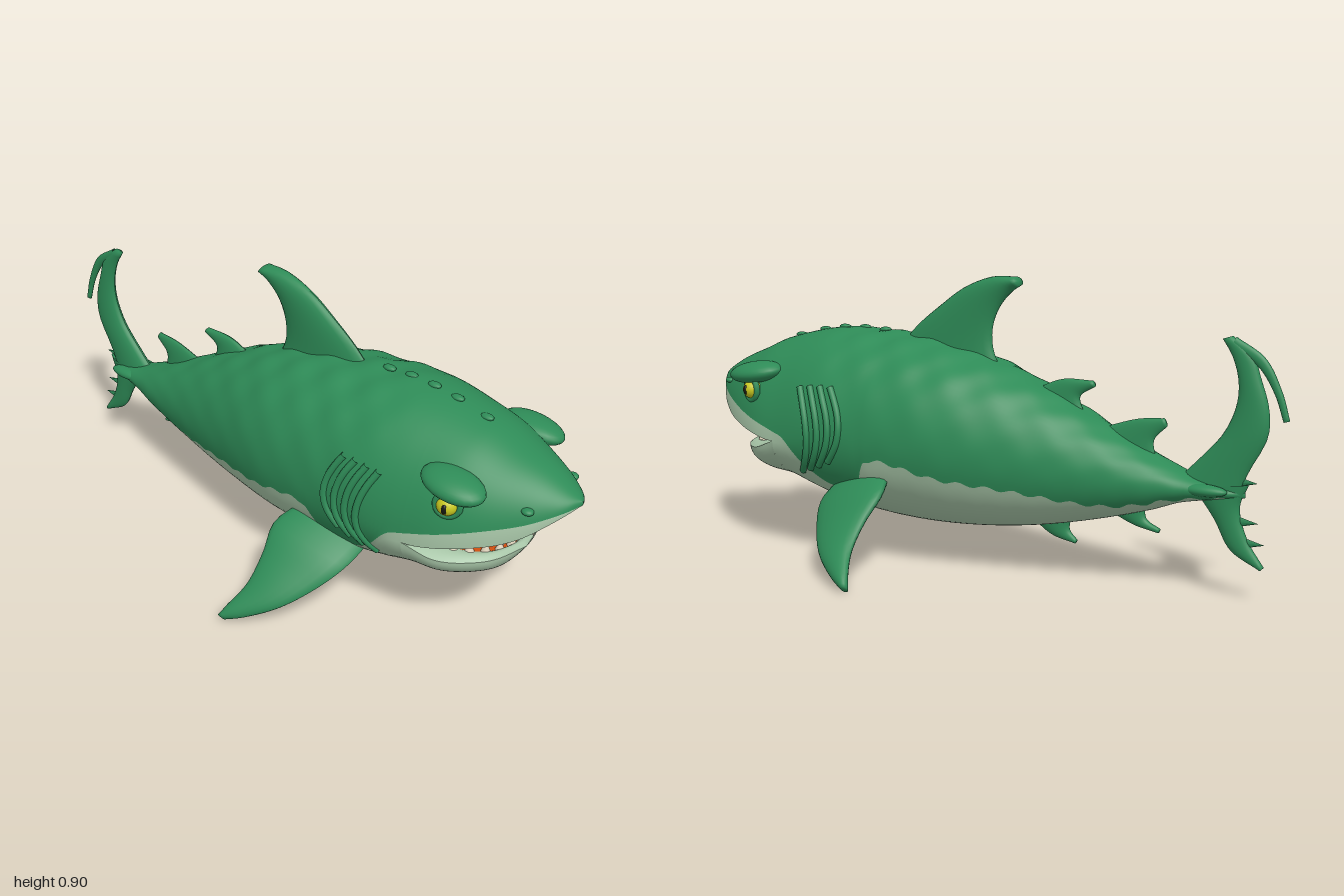
import * as THREE from 'three';

const mat = (name, color, side = THREE.FrontSide) => {
  const m = new THREE.MeshStandardMaterial({ color, side });
  m.name = name;
  return m;
};
const V = (x, y, z) => new THREE.Vector3(x, y, z);

// Smooth curve through [position, value] pairs
function table(p) {
  const slope = i => {
    const a = p[Math.max(0, i - 1)], b = p[Math.min(p.length - 1, i + 1)];
    return (b[1] - a[1]) / (b[0] - a[0]);
  };
  return z => {
    let i = 0;
    while (i < p.length - 2 && z > p[i + 1][0]) i++;
    const h = p[i + 1][0] - p[i][0], t = THREE.MathUtils.clamp((z - p[i][0]) / h, 0, 1);
    const t2 = t * t, t3 = t2 * t;
    return (2 * t3 - 3 * t2 + 1) * p[i][1] + (t3 - 2 * t2 + t) * h * slope(i)
      + (3 * t2 - 2 * t3) * p[i + 1][1] + (t3 - t2) * h * slope(i + 1);
  };
}

// Body profiles along z; JAW is where the head splits into snout and lower jaw
const JAW = 0.6, TAIL = -0.88;
const width = table([[-0.88, 0], [-0.86, 0.02], [-0.8, 0.045], [-0.7, 0.07], [-0.6, 0.1], [-0.4, 0.15], [-0.2, 0.2],
  [0, 0.25], [0.1, 0.265], [0.3, 0.28], [0.45, 0.285], [0.6, 0.27], [0.7, 0.25], [0.8, 0.205], [0.9, 0.135],
  [0.95, 0.085], [0.98, 0.045], [1, 0]]);
const top = table([[-0.88, 0.32], [-0.8, 0.335], [-0.7, 0.36], [-0.5, 0.45], [-0.3, 0.55], [-0.1, 0.635], [0.1, 0.69],
  [0.3, 0.715], [0.5, 0.72], [0.7, 0.68], [0.8, 0.64], [0.9, 0.6], [1, 0.545]]);
const mid = table([[-0.88, 0.31], [-0.6, 0.32], [-0.3, 0.35], [0, 0.39], [0.3, 0.4], [0.45, 0.4], [0.6, 0.37],
  [0.7, 0.385], [0.8, 0.41], [0.85, 0.425], [0.9, 0.45], [0.95, 0.49], [1, 0.535]]);
const bottom = table([[-0.88, 0.3], [-0.7, 0.27], [-0.6, 0.235], [-0.4, 0.18], [-0.2, 0.14], [0, 0.12], [0.2, 0.12],
  [0.4, 0.145], [0.5, 0.175], [0.6, 0.215], [0.7, 0.232], [0.8, 0.262], [0.845, 0.325]]);
const jawWidth = table([[0.6, 0.27], [0.7, 0.235], [0.78, 0.165], [0.82, 0.1], [0.845, 0]]);
const jawMid = table([[0.6, 0.37], [0.7, 0.335], [0.845, 0.326]]);
const paintY = table([[-0.88, 0.3], [-0.7, 0.285], [-0.5, 0.25], [-0.2, 0.28], [0, 0.3], [0.24, 0.34], [0.29, 0.26],
  [0.4, 0.24], [0.48, 0.3], [0.55, 0.38], [0.6, 0.4], [0.7, 0.43], [0.8, 0.46], [0.9, 0.49], [1, 0.535]]);

// Skin point at station z and angle a, with soft muscle lumps behind the head
function skin(z, a) {
  const s = Math.sin(a), jaw = s < -1e-9 && z > JAW;
  const w = jaw ? jawWidth(z) : width(z), m = jaw ? jawMid(z) : mid(z);
  const fade = THREE.MathUtils.smoothstep(z, -0.85, -0.5) * (1 - THREE.MathUtils.smoothstep(z, 0.3, 0.55));
  const k = 1 + 0.016 * fade * Math.max(0, s + 0.2) * Math.sin(z * 42 + 2 * s) * Math.cos(8 * a);
  return V(w * Math.cos(a) * k, m + (s > 0 ? top(z) - m : m - bottom(z)) * s * k, z);
}

// Angle of the colour border at station z
function border(z) {
  const m = mid(z), y = paintY(z) + (z < 0.24 ? 0.006 * Math.sin(z * 75) : 0);
  const q = y > m ? (y - m) / (top(z) - m) : (y - m) / (m - bottom(z));
  return Math.asin(THREE.MathUtils.clamp(q, -0.9, 0.9));
}

// Surface from f(u, v), u and v in 0..1; faces look along v x u
function grid(f, nu, nv, flip = false) {
  const pos = [], idx = [];
  for (let i = 0; i <= nu; i++) for (let j = 0; j <= nv; j++) pos.push(...f(i / nu, j / nv).toArray());
  for (let i = 0; i < nu; i++) for (let j = 0; j < nv; j++) {
    const a = i * (nv + 1) + j, b = a + 1, c = a + nv + 1, d = c + 1;
    idx.push(...(flip ? [a, c, b, b, c, d] : [a, b, c, b, d, c]));
  }
  const g = new THREE.BufferGeometry();
  g.setAttribute('position', new THREE.Float32BufferAttribute(pos, 3));
  g.setIndex(idx);
  g.computeVertexNormals();
  return g;
}
const skinPatch = (z0, z1, a0, a1, nu, nv) => grid((u, v) => {
  const z = z0 + (z1 - z0) * (z0 === JAW ? Math.sin(u * Math.PI / 2) : u);
  return skin(z, THREE.MathUtils.lerp(a0(z), a1(z), v));
}, nu, nv);

// Fin lofted between a leading and a trailing edge, with a lens-shaped section
function fin(lead, trail, thick, tipThick, normal) {
  const a = new THREE.CatmullRomCurve3(lead), b = new THREE.CatmullRomCurve3(trail), n = 20, ring = 20;
  return grid((u, v) => {
    const p = Math.min(1, u * n / (n - 1)), t = v * Math.PI * 2, shrink = u === 1 ? 0 : 1;
    const l = a.getPoint(p), r = b.getPoint(p), c = l.clone().lerp(r, 0.5);
    return c.addScaledVector(l.sub(r), 0.5 * Math.cos(t) * shrink)
      .addScaledVector(normal, Math.sin(t) * THREE.MathUtils.lerp(thick, tipThick, p) * shrink);
  }, n, ring);
}
const flat = pts => pts.map(([z, y]) => V(0, y, z));

export function createModel() {
  const green = mat('green skin', 0x2e8b57, THREE.DoubleSide), pale = mat('pale belly', 0xa6c4a6, THREE.DoubleSide);
  const orange = mat('orange mouth', 0xd4500f, THREE.DoubleSide), ivory = mat('ivory teeth', 0xe2d6be);
  const yellow = mat('yellow eye', 0xc9c820), black = mat('black pupil', 0x15180f);
  const model = new THREE.Group();
  model.name = 'shark';
  const add = (name, geo, material, parent = model) => {
    const m = new THREE.Mesh(geo, material);
    m.name = name;
    parent.add(m);
    return m;
  };
  const PI = Math.PI;

  // Body and head skin
  const left = z => border(z), right = z => PI - border(z);
  add('back', skinPatch(TAIL, JAW, left, right, 110, 48), green);
  add('belly', skinPatch(TAIL, JAW, right, z => 2 * PI + border(z), 110, 32), pale);
  add('headTop', skinPatch(JAW, 1, left, right, 40, 48), green);
  add('leftUpperLip', skinPatch(JAW, 1, () => 0, left, 40, 6), pale);
  add('rightUpperLip', skinPatch(JAW, 1, right, () => PI, 40, 6), pale);
  add('lowerJaw', skinPatch(JAW, 0.845, () => PI + 1e-6, () => 2 * PI - 1e-6, 30, 32), pale);

  // Mouth: rims from the jaw outlines to the gum lines, then the orange lining
  const outer = upper => t => {
    const z = JAW + (upper ? 0.4 : 0.245) * Math.sin(t);
    return V(Math.sign(Math.cos(t)) * (upper ? width : jawWidth)(z), (upper ? mid : jawMid)(z), z);
  };
  const gum = upper => t => V(0.195 * Math.cos(t), 0.37 + (upper ? 0.058 : -0.045) * Math.sin(t),
    JAW + (upper ? 0.275 : 0.21) * Math.sin(t));
  const throat = V(0, 0.37, 0.56);
  for (const upper of [true, false]) {
    const o = outer(upper), g = gum(upper), name = upper ? 'upper' : 'lower', dir = upper ? 1 : -1;
    add(name + 'LipRim', grid((u, v) => {
      const p = o(u * PI).lerp(g(u * PI), v);
      p.y -= dir * 0.012 * Math.sin(v * PI) * Math.sin(u * PI);
      return p;
    }, 60, 6, upper), pale);
    add(name + 'MouthLining', grid((u, v) => {
      const p = g(u * PI).lerp(throat, v);
      p.y += dir * 0.02 * Math.sin(v * PI) * Math.sin(u * PI);
      return p;
    }, 40, 10, upper), orange);
    // Row of teeth, alternating in size
    const teeth = new THREE.Group();
    teeth.name = name + 'Teeth';
    model.add(teeth);
    for (let i = 0; i < 12; i++) {
      const t = 0.3 + i / 11 * (PI - 0.6), len = i % 2 ? 0.036 : 0.05;
      const tooth = add('tooth', new THREE.ConeGeometry(0.017, len, 10), ivory, teeth);
      tooth.position.copy(g(t));
      tooth.position.y -= dir * len * 0.35;
      tooth.rotation.x = upper ? PI : 0;
    }
  }
  const tongue = add('tongue', new THREE.SphereGeometry(1, 24, 12), orange);
  tongue.scale.set(0.12, 0.018, 0.09);
  tongue.position.set(0, 0.357, 0.67);

  // Midline fins
  const X = V(1, 0, 0);
  const midFin = (name, lead, trail, thick, tip) => add(name, fin(flat(lead), flat(trail), thick, tip, X), green);
  midFin('dorsalFin', [[0.29, 0.66], [0.22, 0.735], [0.13, 0.805], [0.04, 0.865], [-0.06, 0.9], [-0.14, 0.902]],
    [[-0.1, 0.59], [-0.06, 0.68], [-0.06, 0.75], [-0.085, 0.81], [-0.125, 0.855], [-0.155, 0.875]], 0.03, 0.027);
  midFin('secondDorsalFin', [[-0.2, 0.56], [-0.3, 0.6], [-0.4, 0.602]], [[-0.38, 0.49], [-0.36, 0.55], [-0.41, 0.585]], 0.02, 0.01);
  midFin('thirdDorsalFin', [[-0.42, 0.46], [-0.55, 0.5], [-0.63, 0.508]], [[-0.61, 0.38], [-0.6, 0.44], [-0.64, 0.485]], 0.018, 0.008);
  midFin('pelvicFin', [[-0.19, 0.17], [-0.27, 0.117], [-0.35, 0.098]], [[-0.34, 0.19], [-0.33, 0.14], [-0.355, 0.11]], 0.022, 0.008);
  midFin('analFin', [[-0.45, 0.22], [-0.54, 0.182], [-0.62, 0.165]], [[-0.58, 0.26], [-0.58, 0.205], [-0.625, 0.178]], 0.02, 0.008);
  midFin('upperTailLobe', [[-0.67, 0.33], [-0.74, 0.4], [-0.81, 0.48], [-0.845, 0.56], [-0.85, 0.63], [-0.83, 0.7], [-0.8, 0.748]],
    [[-0.86, 0.3], [-0.885, 0.37], [-0.94, 0.48], [-0.94, 0.56], [-0.915, 0.64], [-0.89, 0.705], [-0.83, 0.757]], 0.03, 0.012);
  midFin('tailStreamer', [[-0.83, 0.72], [-0.905, 0.675], [-0.955, 0.6], [-0.982, 0.525]],
    [[-0.84, 0.755], [-0.925, 0.7], [-0.975, 0.61], [-1, 0.53]], 0.012, 0.007);
  midFin('lowerTailLobe', [[-0.72, 0.32], [-0.79, 0.23], [-0.84, 0.145], [-0.93, 0.095]],
    [[-0.89, 0.34], [-0.865, 0.27], [-0.89, 0.18], [-0.94, 0.105]], 0.028, 0.01);

  // Rear-edge barbs on the tail
  for (const [z, y] of [[-0.9, 0.345], [-0.905, 0.23], [-0.925, 0.17]]) {
    const barb = add('tailBarb', new THREE.ConeGeometry(0.018, 0.07, 8), green);
    barb.scale.x = 0.4;
    barb.position.set(0, y, z + 0.02);
    barb.rotation.x = -PI / 2;
  }

  // Paired parts, mirrored across x
  for (const s of [1, -1]) {
    const side = s > 0 ? 'left' : 'right', P = ([x, y, z]) => V(s * x, y, z);
    const ball = (name, c, r, material) => {
      const m = add(side + name, new THREE.SphereGeometry(1, 24, 16), material);
      m.position.copy(P(c));
      m.scale.set(...r);
      return m;
    };
    add(side + 'PectoralFin', fin(
      [[0.15, 0.24, 0.42], [0.27, 0.19, 0.41], [0.36, 0.13, 0.36], [0.44, 0.075, 0.29], [0.5, 0.03, 0.2], [0.524, 0.012, 0.15]].map(P),
      [[0.19, 0.3, 0.2], [0.3, 0.25, 0.155], [0.37, 0.18, 0.17], [0.44, 0.105, 0.17], [0.5, 0.045, 0.142], [0.52, 0.015, 0.128]].map(P),
      0.036, 0.015, V(s * 0.68, 0.73, 0)), green);
    // Brow, eye and eyelid
    const brow = ball('Brow', [0.2, 0.578, 0.715], [0.063, 0.034, 0.1], green);
    brow.rotation.set(0.12, 0, -s * 0.15);
    ball('Eye', [0.222, 0.523, 0.715], [0.031, 0.03, 0.031], yellow);
    ball('Pupil', [0.246, 0.523, 0.722], [0.009, 0.016, 0.009], black);
    const lid = add(side + 'Eyelid', new THREE.TorusGeometry(0.034, 0.01, 8, 28), green);
    lid.position.copy(P([0.224, 0.523, 0.717]));
    lid.rotation.y = s * 1.2;
    // Tail keel and nostril
    ball('TailKeel', [0.04, 0.318, -0.77], [0.026, 0.018, 0.07], green);
    const nose = skin(0.9, 0.55);
    ball('Nostril', [nose.x, nose.y, 0.9], [0.016, 0.01, 0.018], green);
    // Gill ridges
    for (let k = 0; k < 4; k++) {
      const pts = [];
      for (let i = 0; i <= 6; i++) {
        const a = 0.5 - i / 6 * (1.05 - 0.08 * k), z = 0.5 - 0.04 * k - 0.05 * Math.sin(i / 6 * PI);
        pts.push(skin(z, s > 0 ? a : PI - a));
      }
      add(side + 'GillRidge', new THREE.TubeGeometry(new THREE.CatmullRomCurve3(pts), 24, 0.011, 8), green);
    }
  }

  // Small knobs along the spine
  for (const z of [0.68, 0.58, 0.5, 0.42, 0.34]) {
    const knob = add('spineKnob', new THREE.SphereGeometry(1, 12, 8), green);
    knob.scale.set(0.014, 0.009, 0.022);
    knob.position.set(0, top(z), z);
  }
  return model;
}
